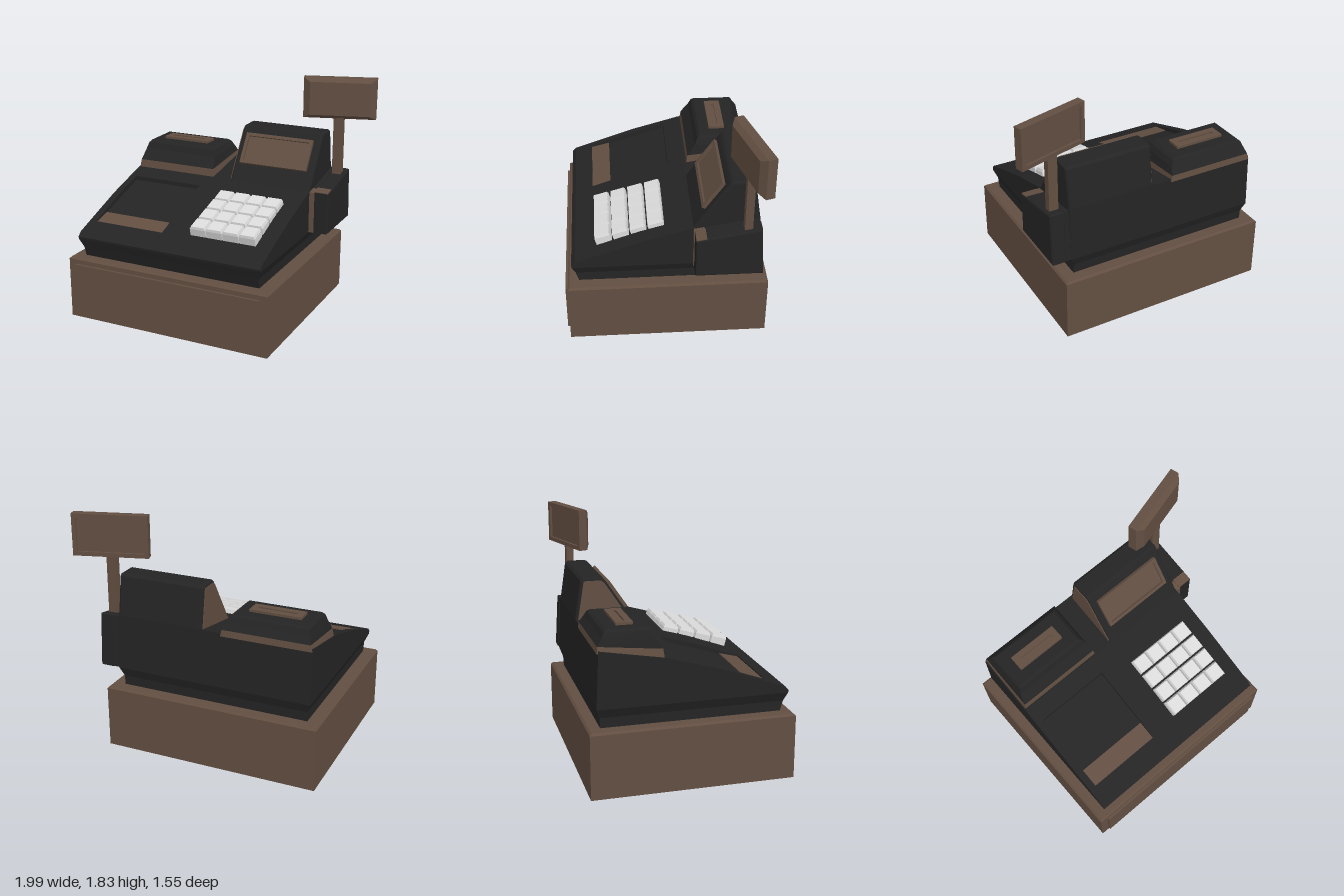
import * as THREE from 'three';

const material = (name, color, side = THREE.FrontSide) => {
  const m = new THREE.MeshStandardMaterial({ color, side });
  m.name = name;
  return m;
};

export function createModel() {
  const model = new THREE.Group();
  model.name = 'cashRegister';
  const brown = material('brown plastic', 0x624e41);
  const black = material('black plastic', 0x242424);
  const white = material('key white', 0xdadada);

  const add = (name, geometry, mat, parent = model) => {
    const mesh = new THREE.Mesh(geometry, mat);
    mesh.name = name;
    parent.add(mesh);
    return mesh;
  };

  const box = (x0, x1, y0, y1, z0, z1) =>
    new THREE.BoxGeometry(x1 - x0, y1 - y0, z1 - z0)
      .translate((x0 + x1) / 2, (y0 + y1) / 2, (z0 + z1) / 2);

  // Side profile of [z, y] points extruded from x0 to x1
  const prism = (points, x0, x1, bevel = 0) => {
    const shape = new THREE.Shape(points.map(([z, y]) => new THREE.Vector2(z, y)));
    const g = new THREE.ExtrudeGeometry(shape, {
      depth: x1 - x0 - 2 * bevel, bevelEnabled: bevel > 0, bevelSize: bevel,
      bevelThickness: bevel, bevelOffset: -bevel, bevelSegments: 2,
    });
    return g.rotateY(-Math.PI / 2).translate(x1 - bevel, 0, 0);
  };

  // Faceted solid through rectangular rings [x0, x1, zBack, zFront, yBack, yFront]
  const loft = (rings) => {
    const corners = rings.map(([x0, x1, zb, zf, yb, yf = yb]) =>
      [[x0, yf, zf], [x1, yf, zf], [x1, yb, zb], [x0, yb, zb]]);
    const pos = [];
    const quad = (a, b, c, d) => pos.push(...a, ...b, ...c, ...a, ...c, ...d);
    for (let i = 0; i + 1 < corners.length; i++) {
      const lo = corners[i], hi = corners[i + 1];
      for (let k = 0; k < 4; k++) {
        const n = (k + 1) % 4;
        quad(lo[k], lo[n], hi[n], hi[k]);
      }
    }
    quad(...[...corners[0]].reverse());
    quad(...corners[corners.length - 1]);
    const g = new THREE.BufferGeometry();
    g.setAttribute('position', new THREE.Float32BufferAttribute(pos, 3));
    g.computeVertexNormals();
    return g;
  };

  // Rectangular frame in the xy plane, rising from z = 0
  const frame = (w, h, border, depth) => {
    const rect = (Type, a, b) => new Type([[-a, -b], [a, -b], [a, b], [-a, b]]
      .map(([x, y]) => new THREE.Vector2(x, y)));
    const shape = rect(THREE.Shape, w / 2, h / 2);
    shape.holes.push(rect(THREE.Path, w / 2 - border, h / 2 - border));
    return new THREE.ExtrudeGeometry(shape, { depth, bevelEnabled: false });
  };

  // Cash drawer base
  add('drawerCase', loft([
    [-1, 0.695, -0.775, 0.755, 0], [-1, 0.695, -0.775, 0.755, 0.485],
    [-0.985, 0.68, -0.76, 0.74, 0.5],
  ]), brown);
  add('drawerFront', box(-0.935, 0.63, 0.055, 0.45, 0.75, 0.775), brown);

  // Body: tapered foot, then a sloping wedge with a sunken paper bay
  add('bodyFoot', loft([
    [-0.9, 0.59, -0.68, 0.665, 0.49], [-0.9, 0.59, -0.685, 0.69, 0.575],
    [-0.93, 0.62, -0.71, 0.716, 0.645],
  ]), black);
  const nose = [[0.716, 0.645], [0.72, 0.665], [0.69, 0.697]];
  const tail = [[-0.2, 0.985], [-0.69, 1.07], [-0.71, 0.645]];
  const solid = [...nose, [0.2, 0.87], ...tail];
  const sunken = [...nose, [0.55, 0.747], [0.55, 0.732], [0.4, 0.77],
    [-0.07, 0.915], [-0.07, 0.948], ...tail];
  add('bodyRightEdge', prism(solid, -0.93, -0.875), black);
  add('paperBay', prism(sunken, -0.875, -0.28), black);
  add('bodyMain', prism(solid, -0.28, 0.62), black);
  add('paperTearStrip', prism(
    [[0.549, 0.732], [0.549, 0.739], [0.4, 0.777], [0.4, 0.77]], -0.872, -0.283), brown);

  // Operator display housing with its side cover
  add('displayHousing', prism([
    [-0.2, 0.985], [-0.45, 1.36], [-0.465, 1.378], [-0.485, 1.388], [-0.625, 1.388],
    [-0.645, 1.37], [-0.69, 1.07], [-0.695, 0.95], [-0.2, 0.95],
  ], -0.07, 0.62, 0.018), black);
  add('housingSideCover', prism([
    [-0.225, 0.99], [-0.46, 1.345], [-0.485, 1.365], [-0.62, 1.365], [-0.67, 1.06],
  ], -0.076, -0.068), brown);

  // Sloping operator screen
  const screen = new THREE.Group();
  screen.name = 'operatorScreen';
  screen.position.set(0.272, 1.22, -0.359);
  screen.rotation.x = -0.594;
  model.add(screen);
  add('screenFrame', frame(0.575, 0.26, 0.026, 0.03), brown, screen);
  add('screenPanel', box(-0.265, 0.265, -0.11, 0.11, -0.01, 0.012), brown, screen);

  // Receipt printer
  add('printerBand', loft([
    [-0.925, -0.225, -0.7, -0.215, 1.05, 0.975],
    [-0.912, -0.235, -0.695, -0.225, 1.1, 1.05],
  ]), brown);
  add('printerCover', loft([
    [-0.912, -0.235, -0.695, -0.225, 1.1, 1.05],
    [-0.895, -0.25, -0.66, -0.285, 1.15, 1.135],
    [-0.88, -0.272, -0.64, -0.305, 1.19, 1.185],
    [-0.86, -0.295, -0.62, -0.325, 1.205],
  ]), black);
  const outlet = add('receiptOutlet', frame(0.4, 0.125, 0.05, 0.022), brown);
  outlet.rotation.x = -Math.PI / 2;
  outlet.position.set(-0.58, 1.202, -0.47);
  add('receiptSlot', box(-0.74, -0.42, 1.195, 1.209, -0.49, -0.45), brown);

  // Four by four keypad, stepping up the slope
  const keypad = new THREE.Group();
  keypad.name = 'keypad';
  model.add(keypad);
  const keyGeometry = loft([
    [-0.066, 0.066, -0.062, 0.062, -0.1], [-0.064, 0.064, -0.061, 0.061, -0.02],
    [-0.055, 0.055, -0.055, 0.055, 0],
  ]);
  for (let row = 0; row < 4; row++) {
    for (let col = 0; col < 4; col++) {
      const key = add('key', keyGeometry, white, keypad);
      key.position.set(0.018 + col * 0.136, 0.957 - row * 0.036, 0.083 + row * 0.134);
      key.rotation.x = 0.29;
    }
  }

  // Card reader and pole mount on the side
  add('cardReader', prism([
    [-0.205, 0.65], [-0.205, 0.982], [-0.68, 1.065], [-0.69, 1.06], [-0.715, 0.65],
  ], 0.655, 0.775, 0.012), black);
  add('cardSlot', prism([
    [-0.2, 0.65], [-0.2, 0.98], [-0.28, 0.993], [-0.28, 0.65],
  ], 0.615, 0.66), brown);
  add('mountBridge', prism([
    [-0.28, 0.65], [-0.28, 0.99], [-0.68, 1.06], [-0.71, 0.65],
  ], 0.615, 0.66), black);
  add('cardReaderCap', prism([
    [-0.207, 0.98], [-0.207, 0.987], [-0.285, 1.001], [-0.285, 0.994],
  ], 0.655, 0.77), brown);

  // Customer display on its pole, turned to the side
  add('displayPole', box(0.67, 0.742, 1.0, 1.52, -0.62, -0.56), brown);
  const customer = new THREE.Group();
  customer.name = 'customerDisplay';
  customer.position.set(0.71, 1.663, -0.583);
  customer.rotation.y = 0.278;
  model.add(customer);
  add('customerDisplayFront', loft([
    [-0.288, 0.288, -0.162, 0.162, -0.035], [-0.288, 0.288, -0.162, 0.162, 0.015],
    [-0.235, 0.235, -0.132, 0.132, 0.053],
  ]).rotateX(Math.PI / 2), brown, customer);
  add('customerDisplayRim', frame(0.576, 0.324, 0.032, 0.02).translate(0, 0, -0.053),
    brown, customer);

  return model;
}
